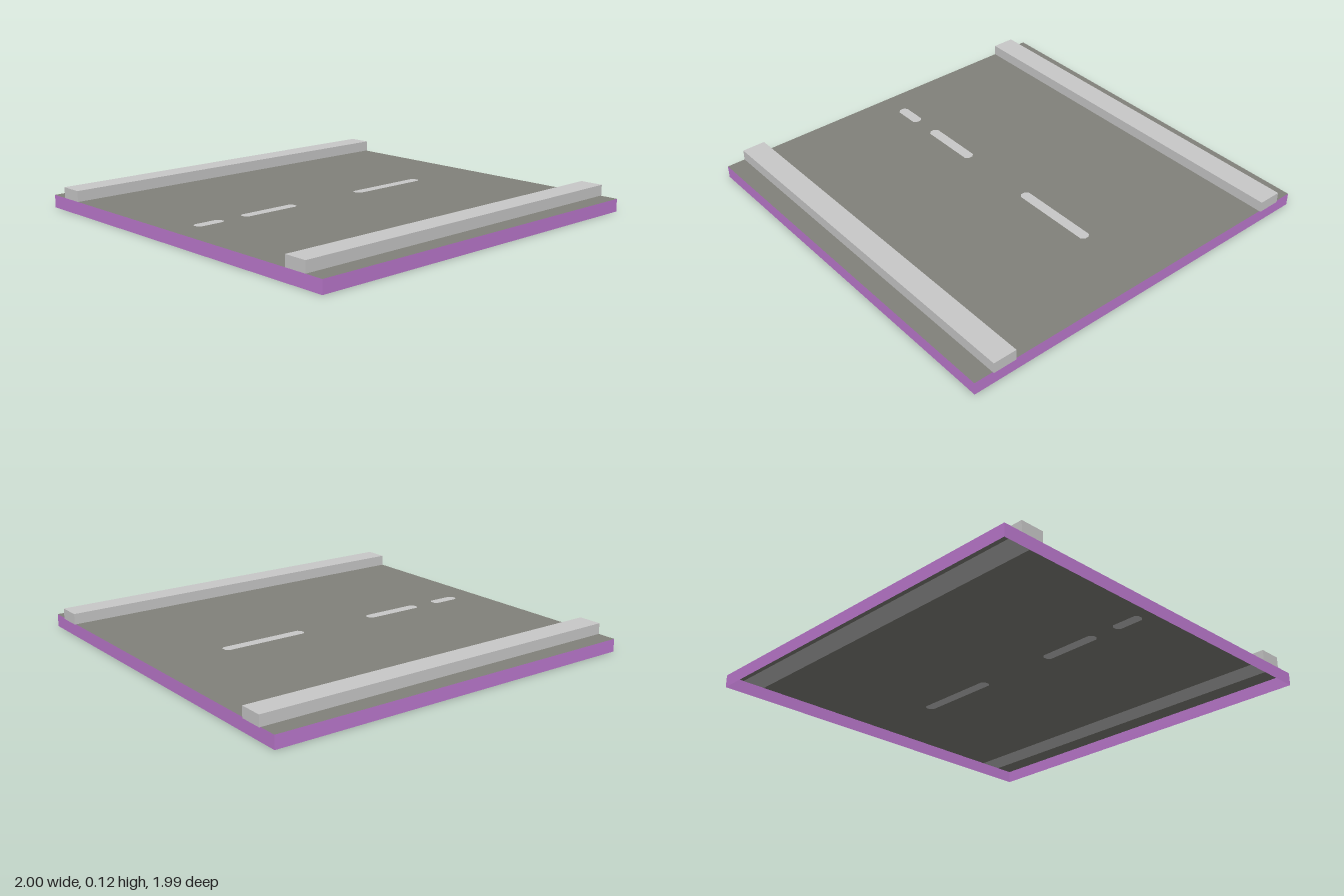
import * as THREE from 'three';

export function createModel() {
  const model = new THREE.Group();
  const material = (name, color, side = THREE.DoubleSide) => {
    const m = new THREE.MeshStandardMaterial({ color, side });
    m.name = name;
    return m;
  };
  const asphalt = material('asphalt grey', 0x82827b);
  const concrete = material('light grey', 0xc9c9c9);
  const purple = material('purple', 0xbd79cf);

  const add = (name, geometry, mat) => {
    const mesh = new THREE.Mesh(geometry, mat);
    mesh.name = name;
    model.add(mesh);
    return mesh;
  };

  const left = -1, right = 0.993, depth = 0.997, deckY = 0.065;
  const curbIn = 0.778, curbOut = 0.9, curbTop = 0.12;

  // Closed outline from [x, z] points; shape y becomes -z once laid flat
  const outline = (points) => points.map(([x, z]) => new THREE.Vector2(x, -z));
  const rect = (x0, x1, z0, z1) => outline([[x0, z0], [x0, z1], [x1, z1], [x1, z0]]);
  const dash = (x0, x1) => {
    const w = 0.027, c = 0.015;
    return outline([
      [x0, -w + c], [x0, w - c], [x0 + c, w], [x1 - c, w],
      [x1, w - c], [x1, -w + c], [x1 - c, -w], [x0 + c, -w],
    ]);
  };
  const flat = (shape) => new THREE.ShapeGeometry(shape).rotateX(-Math.PI / 2).translate(0, deckY, 0);

  // Road surface, cut out where the lane dashes sit
  const road = new THREE.Shape(rect(left, right, -curbIn, curbIn));
  for (const [x0, x1] of [[-0.865, -0.71], [-0.59, -0.265], [0.145, 0.603]]) {
    road.holes.push(new THREE.Path(dash(x0, x1)));
    add('laneDash', flat(new THREE.Shape(dash(x0, x1))), concrete);
  }
  add('roadSurface', flat(road), asphalt);

  // Outer verges and raised kerbs along both sides
  for (const s of [-1, 1]) {
    const [z0, z1] = s > 0 ? [curbOut, depth] : [-depth, -curbOut];
    add('verge', flat(new THREE.Shape(rect(left, right, z0, z1))), asphalt);
    const kerb = add('kerb', new THREE.BoxGeometry(2, curbTop - deckY, curbOut - curbIn), concrete);
    kerb.position.set(0, (curbTop + deckY) / 2, s * (curbIn + curbOut) / 2);
  }

  // Thin skirt around the open underside
  const midX = (left + right) / 2;
  for (const s of [-1, 1]) {
    const long = add('skirt', new THREE.PlaneGeometry(right - left, deckY), purple);
    long.position.set(midX, deckY / 2, s * depth);
    if (s < 0) long.rotation.y = Math.PI;
    const end = add('skirt', new THREE.PlaneGeometry(2 * depth, deckY), purple);
    end.position.set(s > 0 ? right : left, deckY / 2, 0);
    end.rotation.y = s * Math.PI / 2;
  }
  return model;
}
